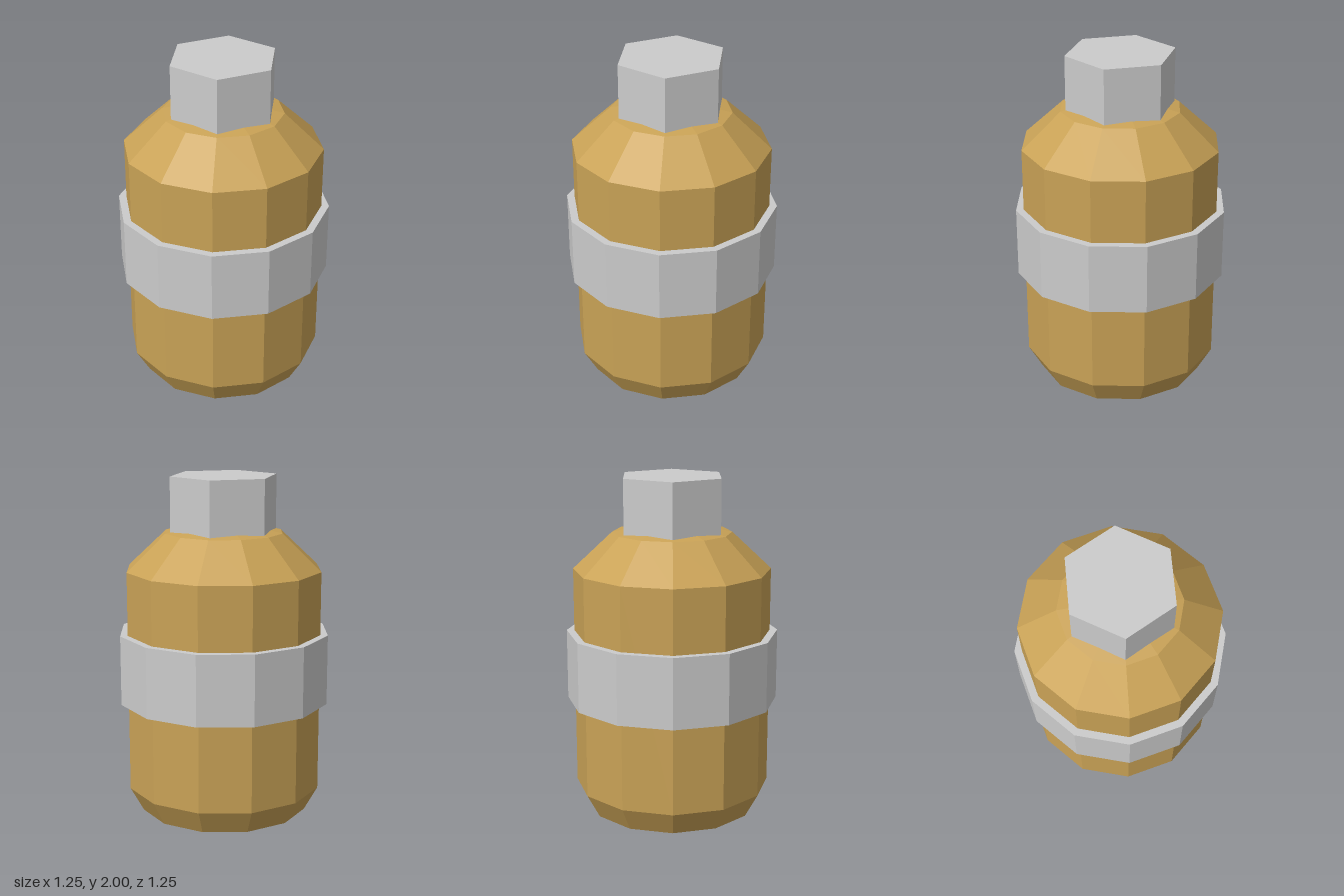
import * as THREE from 'three';

const metal = new THREE.MeshStandardMaterial({ color: 0xcccccc, flatShading: true });
const brass = new THREE.MeshStandardMaterial({ color: 0xc9a256, flatShading: true });

// Upright prism between two heights
function prism(name, radius, sides, bottom, top) {
  const mesh = new THREE.Mesh(new THREE.CylinderGeometry(radius, radius, top - bottom, sides), metal);
  mesh.name = name;
  mesh.position.y = (bottom + top) / 2;
  return mesh;
}

export function createModel() {
  const model = new THREE.Group();
  model.name = 'canister';

  // Twelve-sided body: chamfered foot, straight wall, sloped shoulder, shallow crown
  const profile = [[0, 0], [0.5, 0], [0.58, 0.145], [0.58, 1.457], [0.35, 1.673], [0.27, 1.69], [0, 1.73]]
    .map(([r, y]) => new THREE.Vector2(r, y));
  const body = new THREE.Mesh(new THREE.LatheGeometry(profile, 12), brass);
  body.name = 'body';
  model.add(body);

  // Band around the middle
  model.add(prism('band', 0.625, 12, 0.67, 1.085));

  // Hexagonal cap with corners on the x axis
  const cap = prism('hexCap', 0.32, 6, 1.62, 2);
  cap.rotation.y = Math.PI / 6;
  model.add(cap);

  return model;
}
